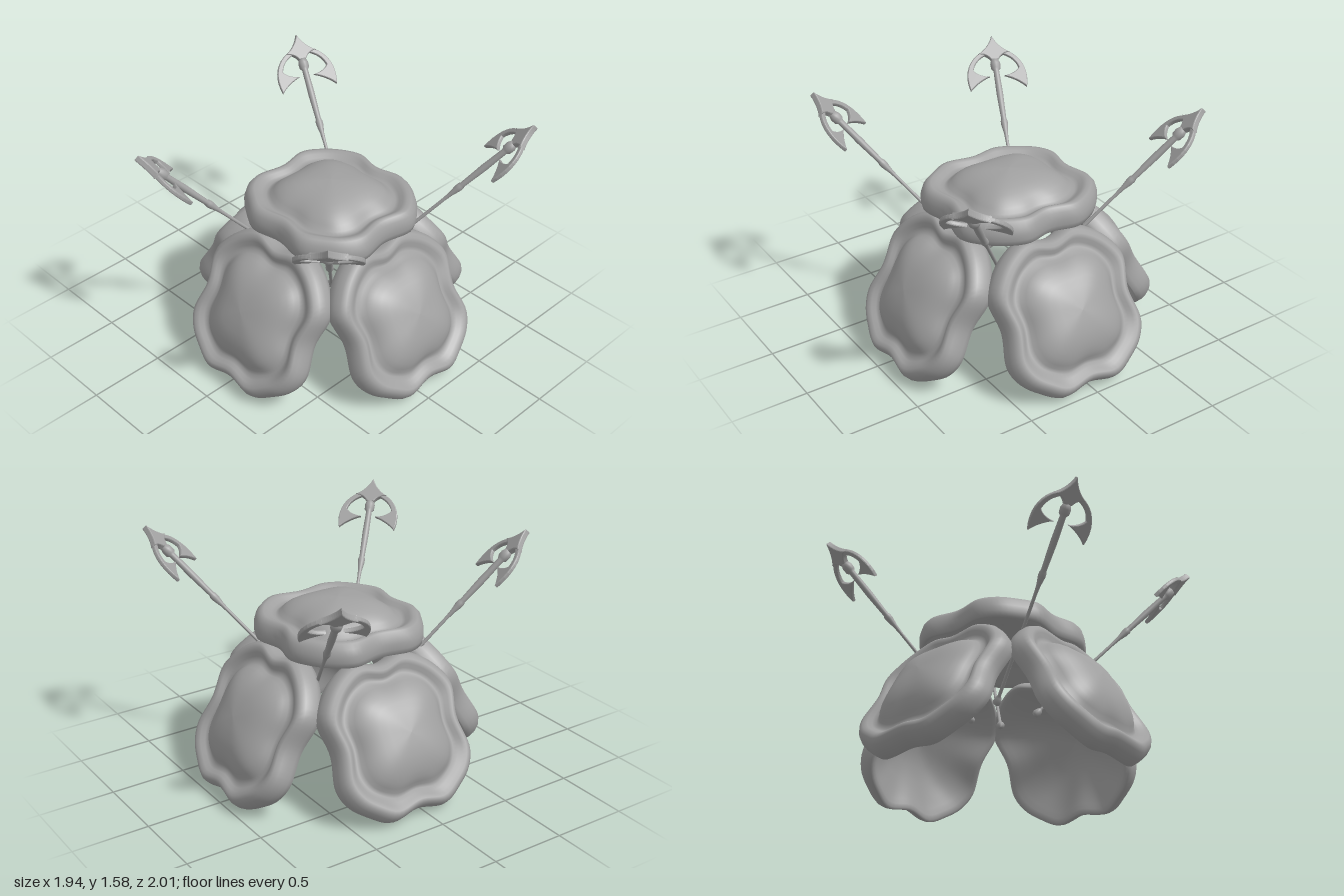
import * as THREE from 'three';

const gray = new THREE.MeshStandardMaterial({ color: 0xa0a0a0 });
gray.name = 'plain gray';

const V2 = (x, y) => new THREE.Vector2(x, y);

// Right half of the lobed shield outline, top to bottom
const half = [[0, 0.462], [0.18, 0.5], [0.31, 0.445], [0.42, 0.345], [0.488, 0.22], [0.456, 0],
  [0.488, -0.22], [0.435, -0.34], [0.33, -0.43], [0.2, -0.5], [0, -0.47]];

// Shield cross-section: [fraction of outline, height], outer centre to hollow underside
const section = [[0, 0.255], [0.15, 0.251], [0.3, 0.241], [0.42, 0.226], [0.52, 0.206], [0.6, 0.182],
  [0.66, 0.155], [0.7, 0.128], [0.745, 0.116], [0.79, 0.126], [0.83, 0.144], [0.88, 0.155],
  [0.93, 0.148], [0.975, 0.12], [1, 0.075], [1.0, 0.035], [0.985, 0], [0.95, -0.002], [0.9, 0.012],
  [0.84, 0.04], [0.74, 0.08], [0.6, 0.135], [0.4, 0.185], [0.2, 0.21], [0, 0.215]];

function shieldGeometry() {
  const full = [...half, ...half.slice(1, -1).reverse().map(([x, y]) => [-x, y])].reverse();
  const curve = new THREE.CatmullRomCurve3(full.map(([x, y]) => new THREE.Vector3(x, y, 0)), true);
  const rim = curve.getSpacedPoints(96).slice(0, 96);
  const n = rim.length, pos = [], index = [];
  for (const [t, h] of section) {
    // inner rings turn from the lobed outline into a rounded square
    const w = THREE.MathUtils.smoothstep(t, 0.5, 0.88);
    for (const p of rim) {
      const r = p.length(), c = p.x / r, s = p.y / r;
      const square = 0.46 / Math.pow(c ** 4 + s ** 4, 0.25);
      const k = THREE.MathUtils.lerp(square, r, w) * t;
      pos.push(c * k, s * k, h);
    }
  }
  for (let i = 0; i < section.length - 1; i++) {
    for (let j = 0; j < n; j++) {
      const a = i * n + j, b = i * n + (j + 1) % n;
      if (i < section.length - 2) index.push(a, a + n, b + n);
      else index.push(a, a + n, b);
      if (i > 0 && i < section.length - 2) index.push(a, b + n, b);
    }
  }
  const g = new THREE.BufferGeometry();
  g.setAttribute('position', new THREE.Float32BufferAttribute(pos, 3));
  g.setIndex(index);
  g.computeVertexNormals();
  return g;
}

function mesh(name, geometry) {
  const m = new THREE.Mesh(geometry, gray);
  m.name = name;
  return m;
}

function plate(shape, depth) {
  const g = new THREE.ExtrudeGeometry(shape, {
    depth, curveSegments: 10, bevelEnabled: true, bevelThickness: 0.008, bevelSize: 0.006,
    bevelOffset: -0.006, bevelSegments: 2,
  });
  return g.translate(0, 0, -depth / 2);
}

// Crescent blade; side mirrors it
function bladeShape(side) {
  const s = new THREE.Shape();
  s.moveTo(side * 0.07, -0.105);
  s.bezierCurveTo(side * 0.17, -0.14, side * 0.235, -0.25, side * 0.195, -0.385);
  s.quadraticCurveTo(side * 0.14, -0.325, side * 0.05, -0.292);
  s.quadraticCurveTo(side * 0.13, -0.28, side * 0.158, -0.24);
  s.quadraticCurveTo(side * 0.14, -0.17, side * 0.06, -0.135);
  s.closePath();
  return s;
}

function spearShape() {
  const s = new THREE.Shape();
  s.moveTo(0, 0);
  s.quadraticCurveTo(-0.035, -0.085, -0.11, -0.125);
  s.quadraticCurveTo(-0.05, -0.13, -0.025, -0.175);
  s.lineTo(0.025, -0.175);
  s.quadraticCurveTo(0.05, -0.13, 0.11, -0.125);
  s.quadraticCurveTo(0.035, -0.085, 0, 0);
  return s;
}

// Axe with its point at the origin and its shaft running down -y
function axeParts() {
  const shaft = [[0, -1.51], [0.02, -1.5], [0.027, -1.48], [0.02, -1.455], [0.011, -1.44],
    [0.011, -0.76], [0.014, -0.7], [0.024, -0.64], [0.024, -0.615], [0.018, -0.6],
    [0.023, -0.42], [0.02, -0.25], [0.033, -0.235], [0.035, -0.2], [0.026, -0.175], [0, -0.15]];
  return [
    ['shaft', new THREE.LatheGeometry(shaft.map(([x, y]) => V2(x, y)), 16)],
    ['spearPoint', plate(spearShape(), 0.026)],
    ['leftBlade', plate(bladeShape(1), 0.012)],
    ['rightBlade', plate(bladeShape(-1), 0.012)],
  ];
}

export function createModel() {
  const model = new THREE.Group();
  model.name = 'shieldsAndAxes';

  // Four leaning shields around a flat one on top
  const shell = new THREE.Group();
  shell.name = 'shields';
  shell.position.set(0.034, 0, -0.073);
  model.add(shell);
  const shieldGeo = shieldGeometry();
  ['frontShield', 'leftShield', 'backShield', 'rightShield'].forEach((name, i) => {
    const pivot = new THREE.Group();
    pivot.name = name + 'Pivot';
    pivot.rotation.y = i * Math.PI / 2;
    const shield = mesh(name, shieldGeo);
    shield.position.set(0, 0.435, 0.573);
    shield.rotation.x = -0.519;
    pivot.add(shield);
    shell.add(pivot);
  });
  const top = mesh('topShield', shieldGeo);
  top.position.y = 0.935;
  top.rotation.x = -Math.PI / 2;
  top.scale.set(1.04, 0.975, 1);
  shell.add(top);

  // Axes pointing out through the gaps: [point, a lower spot on the shaft]
  const axes = [
    ['frontRightAxe', [-0.53, 1.575, 0.99], [-0.285, 0.87, 0.37]],
    ['backLeftAxe', [0.905, 1.575, -0.97], [0.405, 0.84, -0.45]],
    ['backRightAxe', [-0.965, 1.575, -0.72], [-0.465, 1.03, -0.51]],
    ['frontLeftAxe', [0.92, 1.575, 0.83], [0.42, 0.85, 0.31]],
  ];
  const parts = axeParts();
  for (const [name, tip, low] of axes) {
    const p = new THREE.Vector3(...tip);
    const dir = p.clone().sub(new THREE.Vector3(...low)).normalize();
    const side = new THREE.Vector3(0, 1, 0).cross(dir).normalize();
    const axe = new THREE.Group();
    axe.name = name;
    axe.quaternion.setFromRotationMatrix(
      new THREE.Matrix4().makeBasis(side, dir, side.clone().cross(dir)));
    axe.position.copy(p);
    for (const [part, geo] of parts) axe.add(mesh(part, geo));
    model.add(axe);
  }
  return model;
}
